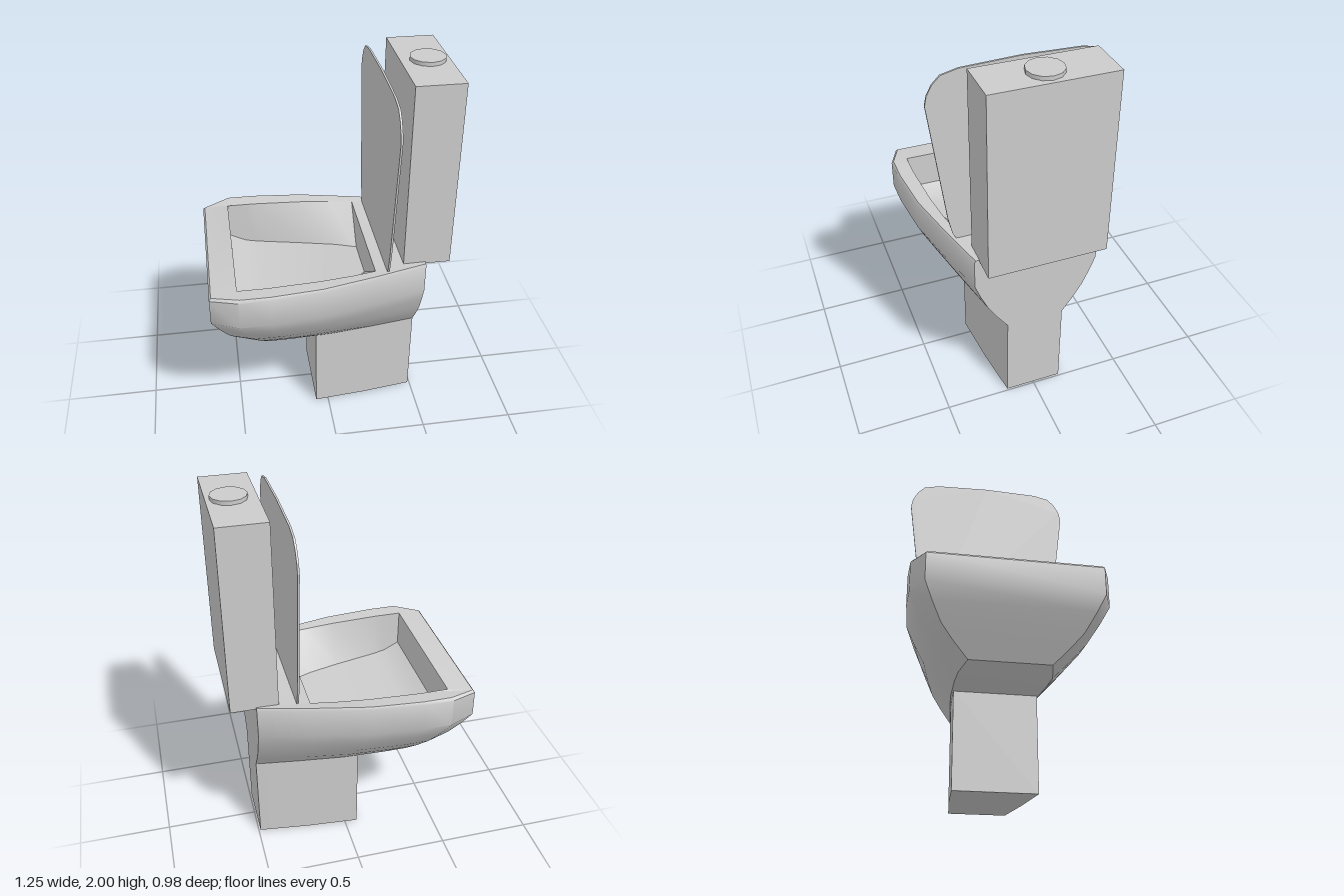
import * as THREE from 'three';
import { toCreasedNormals } from 'three/addons/utils/BufferGeometryUtils.js';

const material = new THREE.MeshStandardMaterial({ color: 0xcccccc });

function part(name, geometry, x = 0, y = 0, z = 0) {
  const mesh = new THREE.Mesh(geometry, material);
  mesh.name = name;
  mesh.position.set(x, y, z);
  return mesh;
}

// Skin a stack of rings. Each ring lists [x, y, z] from back to front on the
// +z side and is mirrored to the -z side. Both ends are capped with strips.
function loft(halves, crease) {
  const rings = halves.map(h => [...h, ...h.slice().reverse().map(([x, y, z]) => [x, y, -z])]);
  const n = rings[0].length;
  const positions = [];
  const quad = (a, b, c, d) => positions.push(...a, ...b, ...c, ...a, ...c, ...d);
  for (let r = 0; r < rings.length - 1; r++) {
    for (let i = 0; i < n; i++) {
      const j = (i + 1) % n;
      quad(rings[r][i], rings[r + 1][i], rings[r + 1][j], rings[r][j]);
    }
  }
  const first = rings[0], last = rings[rings.length - 1];
  for (let i = 0; i < n / 2 - 1; i++) {
    quad(first[i], first[i + 1], first[n - 2 - i], first[n - 1 - i]);
    quad(last[n - 1 - i], last[n - 2 - i], last[i + 1], last[i]);
  }
  const geometry = new THREE.BufferGeometry();
  geometry.setAttribute('position', new THREE.Float32BufferAttribute(positions, 3));
  return toCreasedNormals(geometry, crease);
}

function bowlGeometry() {
  const back = 0.49;
  // Plan outline [x, half width], back to front
  const outline = [[0.49, 0.33], [0.22, 0.4], [-0.07, 0.465], [-0.34, 0.49], [-0.49, 0.49], [-0.63, 0.43]];
  // Outer levels: y, width factor, front x, rise or drop of the front edge
  const levels = [
    [0.5, 0.47, -0.46, 0.02],
    [0.58, 0.64, -0.5, 0.01],
    [0.66, 0.79, -0.54, 0],
    [0.75, 0.91, -0.59, 0],
    [0.83, 1, -0.63, 0],
    [0.985, 1, -0.63, -0.015],
    [1, 0.98, -0.62, -0.018],
  ];
  const rings = levels.map(([y, width, front, lift]) => outline.map(([x, z], i) => [
    back - (back - x) * (back - front) / 1.12,
    y + (i === outline.length - 1 ? lift : 0),
    z * width,
  ]));
  // Basin: rim opening, then the sloping floor [x, y, half width]
  const opening = [[0.22, 0.34], [0.1, 0.362], [-0.07, 0.383], [-0.34, 0.4], [-0.4, 0.4], [-0.49, 0.4]];
  rings.push(opening.map(([x, z]) => [x, 0.995, z]));
  rings.push([
    [0.21, 0.83, 0.12], [0.1, 0.81, 0.19], [-0.07, 0.77, 0.29],
    [-0.33, 0.755, 0.37], [-0.4, 0.76, 0.385], [-0.485, 0.8, 0.39],
  ]);
  return loft(rings, 0.6);
}

function lidGeometry() {
  // Half outline [half width, y], bottom to top
  const side = [[0.34, 0.99], [0.36, 1.03], [0.38, 1.12], [0.463, 1.78], [0.452, 1.83], [0.425, 1.88], [0.385, 1.92], [0.3, 1.94]];
  const points = [
    ...side.map(([z, y]) => new THREE.Vector2(z, y)),
    new THREE.Vector2(0, 1.95),
    ...side.slice().reverse().map(([z, y]) => new THREE.Vector2(-z, y)),
  ];
  const geometry = new THREE.ExtrudeGeometry(new THREE.Shape(points), { depth: 0.01, bevelEnabled: false });
  geometry.translate(0, 0, -0.005);
  geometry.rotateY(Math.PI / 2);
  return geometry;
}

export function createModel() {
  const model = new THREE.Group();
  model.name = 'toilet';

  // Pedestal, tapering to the back
  const foot = [[0.49, 0.155], [0.22, 0.19], [-0.07, 0.215]];
  model.add(part('pedestal', loft([0, 0.505].map(y => foot.map(([x, z]) => [x, y, z])), 0.5)));

  model.add(part('bowl', bowlGeometry()));
  model.add(part('lid', lidGeometry(), 0.283, 0, 0.013));

  // Tank and its flush button
  model.add(part('tank', new THREE.BoxGeometry(0.245, 0.99, 0.62), 0.4975, 1.485, -0.006));
  model.add(part('flushButton', new THREE.CylinderGeometry(0.09, 0.09, 0.03, 12), 0.51, 1.985, 0));

  return model;
}
